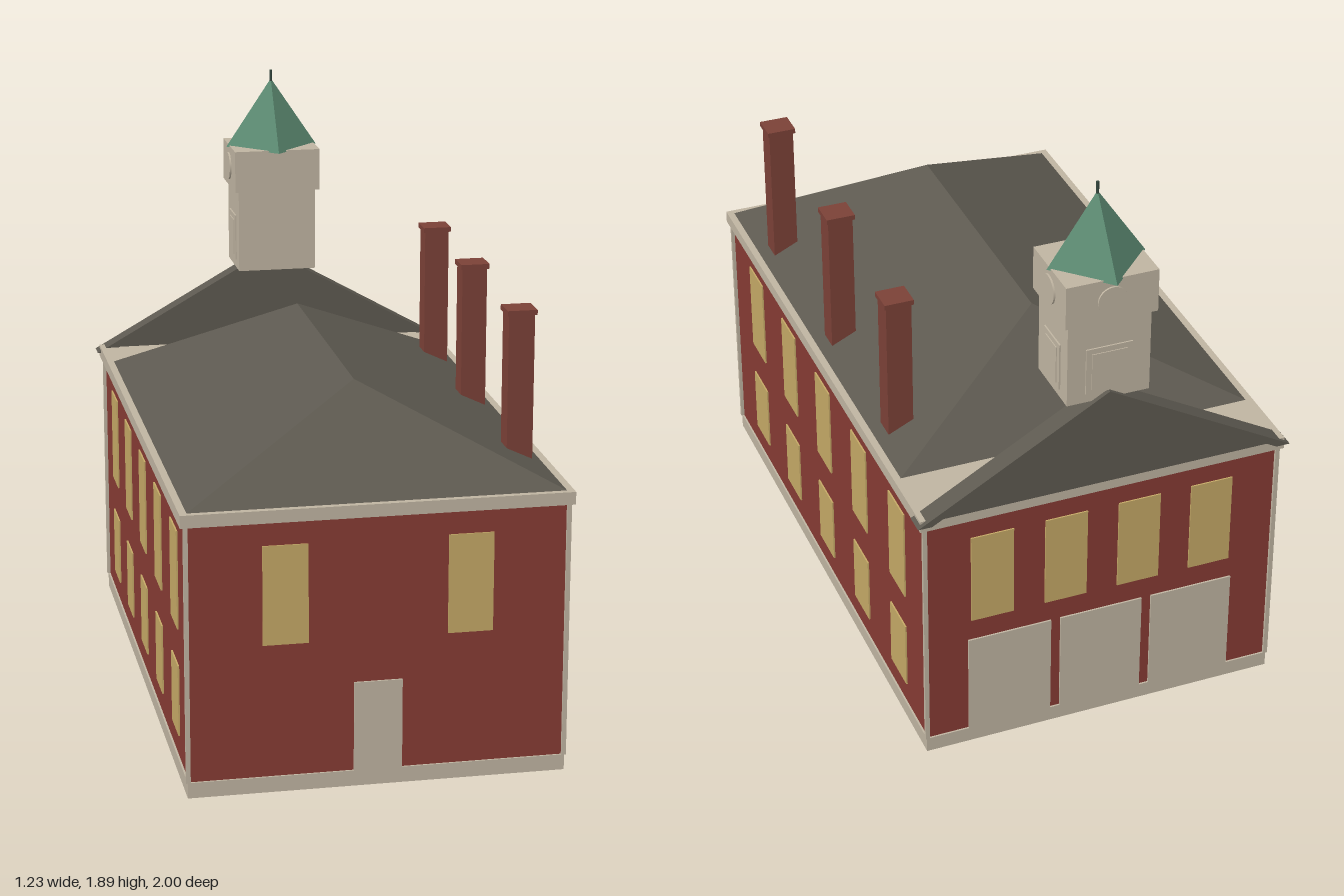
import * as THREE from 'three';

const mat = (name, color, side = THREE.FrontSide) => {
  const m = new THREE.MeshStandardMaterial({ color, side });
  m.name = name;
  return m;
};

export function createModel() {
  const brick = mat('brick red', 0x863b34);
  const chimneyBrick = mat('chimney brick', 0x7b4137);
  const stone = mat('stone', 0xbfb4a1);
  const slate = mat('slate', 0x5d5950);
  const glass = mat('window yellow', 0xc4a866);
  const copper = mat('copper green', 0x5c8a72);
  const iron = mat('dark iron', 0x33463d);

  const model = new THREE.Group();
  model.name = 'townHall';

  const add = (name, geometry, material, parent = model) => {
    const mesh = new THREE.Mesh(geometry, material);
    mesh.name = name;
    parent.add(mesh);
    return mesh;
  };
  // Box given by its lower and upper corners
  const box = (name, material, [x0, y0, z0], [x1, y1, z1], parent) => {
    const g = new THREE.BoxGeometry(x1 - x0, y1 - y0, z1 - z0);
    g.translate((x0 + x1) / 2, (y0 + y1) / 2, (z0 + z1) / 2);
    return add(name, g, material, parent);
  };
  const group = (name) => {
    const g = new THREE.Group();
    g.name = name;
    model.add(g);
    return g;
  };

  // Main block
  box('plinth', stone, [-0.588, 0, -0.942], [0.588, 0.05, 0.99]);
  box('walls', brick, [-0.582, 0.05, -0.936], [0.582, 0.865, 0.984]);
  box('cornice', stone, [-0.603, 0.865, -0.952], [0.603, 0.905, 1]);
  for (const x of [-0.586, 0.586]) {
    for (const z of [-0.939, 0.987]) {
      box('cornerTrim', stone, [x - 0.007, 0.05, z - 0.006], [x + 0.007, 0.865, z + 0.006]);
    }
  }

  // Side windows, two rows of five
  const rows = [[0.125, 0.355], [0.475, 0.79]];
  const windows = group('windows');
  for (const s of [-1, 1]) {
    for (const z of [0.73, 0.377, 0.024, -0.33, -0.683]) {
      for (const [y0, y1] of rows) {
        const x = s * 0.583;
        box('sideWindow', glass, [x - 0.004, y0, z - 0.07], [x + 0.004, y1, z + 0.07], windows);
      }
    }
  }
  // Front and back windows
  const [top0, top1] = rows[1];
  for (const x of [-0.285, 0.285]) {
    box('frontWindow', glass, [x - 0.07, top0, 0.981], [x + 0.07, top1, 0.988], windows);
  }
  for (const x of [-0.366, -0.122, 0.122, 0.366]) {
    box('backWindow', glass, [x - 0.07, top0, -0.941], [x + 0.07, top1, -0.933], windows);
  }

  // Doors
  box('frontDoor', stone, [-0.075, 0.04, 0.982], [0.075, 0.337, 0.99]);
  for (const x of [-0.308, 0, 0.308]) {
    box('engineBayDoor', stone, [x - 0.138, 0.04, -0.942], [x + 0.138, 0.4, -0.934]);
  }

  // Hipped roof: four eave corners and a ridge
  const e = 0.58, y = 0.905;
  const p = [
    [-e, y, 0.98], [e, y, 0.98], [e, y, -0.72], [-e, y, -0.72],
    [0, 1.18, 0.6], [0, 1.18, -0.345],
  ];
  const faces = [[0, 1, 4], [1, 2, 5], [1, 5, 4], [2, 3, 5], [3, 0, 4], [3, 4, 5], [0, 3, 2], [0, 2, 1]];
  const roof = new THREE.BufferGeometry();
  roof.setAttribute('position', new THREE.Float32BufferAttribute(faces.flat().flatMap((i) => p[i]), 3));
  roof.computeVertexNormals();
  add('hippedRoof', roof, slate);

  // Back pediment: triangular panel with projecting rakes
  const prism = (points, z0, z1) => {
    const shape = new THREE.Shape(points.map(([a, b]) => new THREE.Vector2(a, b)));
    const g = new THREE.ExtrudeGeometry(shape, { depth: z1 - z0, bevelEnabled: false });
    return g.translate(0, 0, z0);
  };
  add('pediment', prism([[-0.59, 0.9], [0.59, 0.9], [0, 1.225]], -0.956, -0.908), slate);
  add('pedimentRakes', prism([
    [-0.615, 0.888], [-0.57, 0.888], [0, 1.205], [0.57, 0.888], [0.615, 0.888], [0, 1.235],
  ], -0.966, -0.9), slate);

  // Chimneys
  for (const z of [0.667, 0.065, -0.475]) {
    const chimney = group('chimney');
    box('chimneyShaft', chimneyBrick, [0.462, 0.92, z - 0.037], [0.544, 1.388, z + 0.037], chimney);
    box('chimneyCap', chimneyBrick, [0.456, 1.384, z - 0.044], [0.55, 1.4, z + 0.044], chimney);
  }

  // Bell tower
  const tower = group('tower');
  tower.position.z = -0.84;
  box('towerShaft', stone, [-0.134, 1.205, -0.111], [0.134, 1.49, 0.111], tower);
  box('towerHead', stone, [-0.148, 1.487, -0.126], [0.148, 1.63, 0.126], tower);

  // Raised panels and clock discs on the sides and the back
  for (const [angle, shaft, head, w] of [
    [Math.PI / 2, 0.134, 0.148, 0.06],
    [-Math.PI / 2, 0.134, 0.148, 0.06],
    [Math.PI, 0.111, 0.126, 0.075],
  ]) {
    const face = new THREE.Group();
    face.name = 'towerFaceTrim';
    face.rotation.y = angle;
    tower.add(face);
    box('panel', stone, [-w, 1.235, shaft - 0.002], [w, 1.392, shaft + 0.005], face);
    box('innerPanel', stone, [-w + 0.018, 1.25, shaft], [w - 0.018, 1.374, shaft + 0.008], face);
    const disc = new THREE.CylinderGeometry(0.047, 0.047, 0.008, 24);
    disc.rotateX(Math.PI / 2).translate(0, 1.558, head + 0.002);
    add('clockDisc', disc, stone, face);
  }

  // Four-sided spire with its corners on the axes, and a finial
  const spire = new THREE.ConeGeometry(0.158, 0.235, 4).toNonIndexed();
  spire.computeVertexNormals();
  spire.translate(0, 1.7425, 0);
  add('spire', spire, copper, tower);
  const finial = new THREE.CylinderGeometry(0.005, 0.005, 0.06, 8);
  finial.translate(0, 1.86, 0);
  add('finial', finial, iron, tower);

  return model;
}
